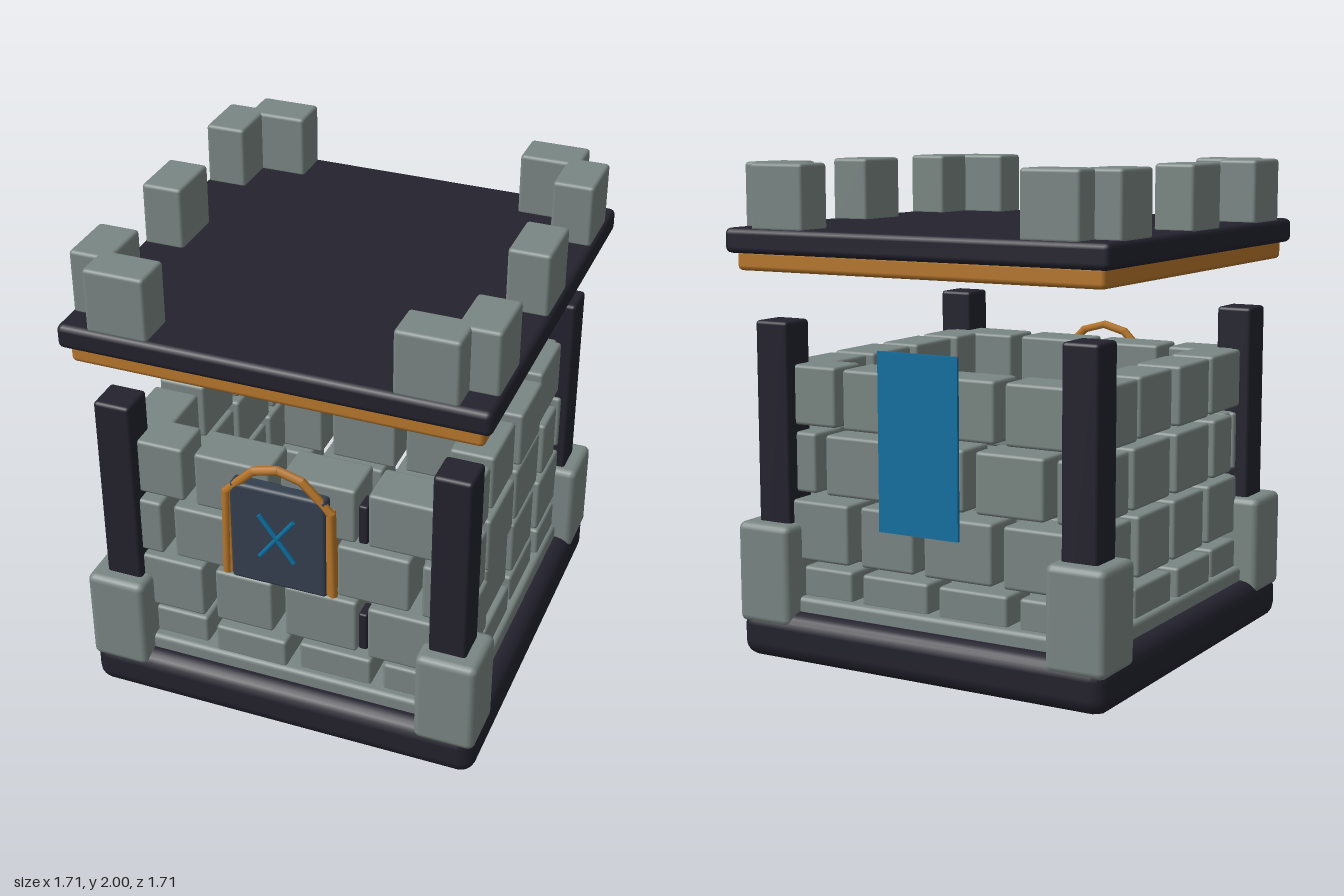
import * as THREE from 'three';
import { RoundedBoxGeometry } from 'three/addons/geometries/RoundedBoxGeometry.js';

const material = (name, color) => {
  const m = new THREE.MeshStandardMaterial({ color });
  m.name = name;
  return m;
};

export function createModel() {
  const model = new THREE.Group();
  model.name = 'stoneTower';
  const stone = material('stone', 0x7a8683);
  const dark = material('darkTimber', 0x23222e);
  const orange = material('orangeWood', 0xb8772b);
  const blue = material('blueCloth', 0x0f70a2);
  const slate = material('slate', 0x343f4e);

  // Bevelled box given by its min and max corners
  function block(name, mat, [x0, y0, z0], [x1, y1, z1], r = 0.015, parent = model) {
    const g = new RoundedBoxGeometry(x1 - x0, y1 - y0, z1 - z0, 2, r);
    const mesh = new THREE.Mesh(g, mat);
    mesh.position.set((x0 + x1) / 2, (y0 + y1) / 2, (z0 + z1) / 2);
    mesh.name = name;
    parent.add(mesh);
    return mesh;
  }

  // Round bar between two points
  function bar(name, mat, a, b, r, parent) {
    const p = new THREE.Vector3(...a), q = new THREE.Vector3(...b);
    const dir = q.clone().sub(p);
    const mesh = new THREE.Mesh(new THREE.CylinderGeometry(r, r, dir.length() + r * 0.5, 6), mat);
    mesh.position.copy(p).add(q).multiplyScalar(0.5);
    mesh.quaternion.setFromUnitVectors(new THREE.Vector3(0, 1, 0), dir.normalize());
    mesh.name = name;
    parent.add(mesh);
  }

  // Seeded noise for uneven stones
  let seed = 7;
  const rand = () => (seed = (seed * 16807) % 2147483647) / 2147483647;

  // Base and ledge
  block('base', dark, [-0.835, 0, -0.835], [0.835, 0.2, 0.835], 0.065);
  block('ledge', stone, [-0.76, 0.17, -0.76], [0.76, 0.26, 0.76], 0.02);

  // Corner posts and footings
  for (const sx of [-1, 1]) for (const sz of [-1, 1]) {
    const post = block('cornerPost', dark, [-0.077, 0.18, -0.077], [0.077, 1.375, 0.077], 0.015);
    post.position.x = sx * 0.695;
    post.position.z = sz * 0.695;
    const foot = block('cornerFooting', stone, [-0.127, 0.145, -0.127], [0.127, 0.56, 0.127], 0.03);
    foot.position.x = sx * 0.71;
    foot.position.z = sz * 0.71;
  }

  // Walls of loose bricks: each row has its height range and joint positions
  const heights = [[0.25, 0.38], [0.41, 0.655], [0.683, 0.928], [0.957, 1.2]];
  const frontJoints = [[-0.33, 0.03, 0.39], [-0.33, -0.03, 0.328], [-0.5, -0.14, 0.2, 0.55], [-0.4, -0.03, 0.328]];
  const sideJoints = [[-0.4, -0.03, 0.33], [-0.36, -0.03, 0.3], [-0.4, -0.03, 0.33, 0.56], [-0.36, -0.03, 0.3]];
  for (let side = 0; side < 4; side++) {
    const wall = new THREE.Group();
    wall.name = ['frontWall', 'leftWall', 'backWall', 'rightWall'][side];
    wall.rotation.y = side * Math.PI / 2;
    const isSide = side % 2 === 1;
    const end = isSide ? 0.61 : 0.7;
    heights.forEach(([y0, y1], row) => {
      const joints = isSide ? sideJoints[row] : frontJoints[row];
      const stops = [-end - 0.025, ...joints, end + 0.025];
      for (let i = 0; i + 1 < stops.length; i++) {
        const outer = 0.715 + rand() * 0.03;
        block('brick', stone, [stops[i] + 0.025, y0, 0.54], [stops[i + 1] - 0.025, y1, outer], 0.014, wall);
      }
    });
    model.add(wall);
  }

  // Dark slits in the front joints
  for (const y of [0.45, 0.97]) block('slit', dark, [0.318, y, 0.66], [0.355, y + 0.175, 0.742], 0.008);

  // Front plaque with arched frame and crossed bars
  const plaque = new THREE.Group();
  plaque.name = 'plaque';
  model.add(plaque);
  block('plaquePanel', slate, [-0.2, 0.7, 0.72], [0.2, 1.155, 0.787], 0.015, plaque);
  const frame = [[0.225, 0.715], [0.217, 1.1], [0.165, 1.155], [0.1, 1.22], [0, 1.247]];
  for (const s of [-1, 1]) {
    for (let i = 0; i + 1 < frame.length; i++) {
      const [a, b] = [frame[i], frame[i + 1]];
      bar('plaqueFrame', orange, [s * a[0], a[1], 0.772], [s * b[0], b[1], 0.772], 0.018, plaque);
    }
    block('frameSide', orange, [s * 0.211 - 0.014, 0.71, 0.715], [s * 0.211 + 0.014, 1.1, 0.78], 0.008, plaque);
    bar('crossBar', blue, [-s * 0.07, 0.845, 0.796], [s * 0.07, 1.035, 0.796], 0.01, plaque);
  }

  // Back banner
  const banner = new THREE.Mesh(new THREE.BoxGeometry(0.36, 0.71, 0.012), blue);
  banner.position.set(0, 0.935, -0.775);
  banner.name = 'backBanner';
  model.add(banner);

  // Raised roof with trim
  block('roofTrim', orange, [-0.82, 1.575, -0.82], [0.82, 1.66, 0.82], 0.02);
  block('roof', dark, [-0.855, 1.645, -0.855], [0.855, 1.745, 0.855], 0.025);

  // Battlements: corner pairs and one at the middle of each side
  for (const sx of [-1, 1]) {
    const merlon = (x, z, w, d) =>
      block('merlon', stone, [x - w / 2, 1.735, z - d / 2], [x + w / 2, 2, z + d / 2], 0.015);
    for (const sz of [-1, 1]) {
      merlon(sx * 0.757, sz * 0.605, 0.17, 0.25);
      merlon(sx * 0.605, sz * 0.757, 0.25, 0.17);
    }
    merlon(sx * 0.757, 0, 0.17, 0.255);
  }
  return model;
}
